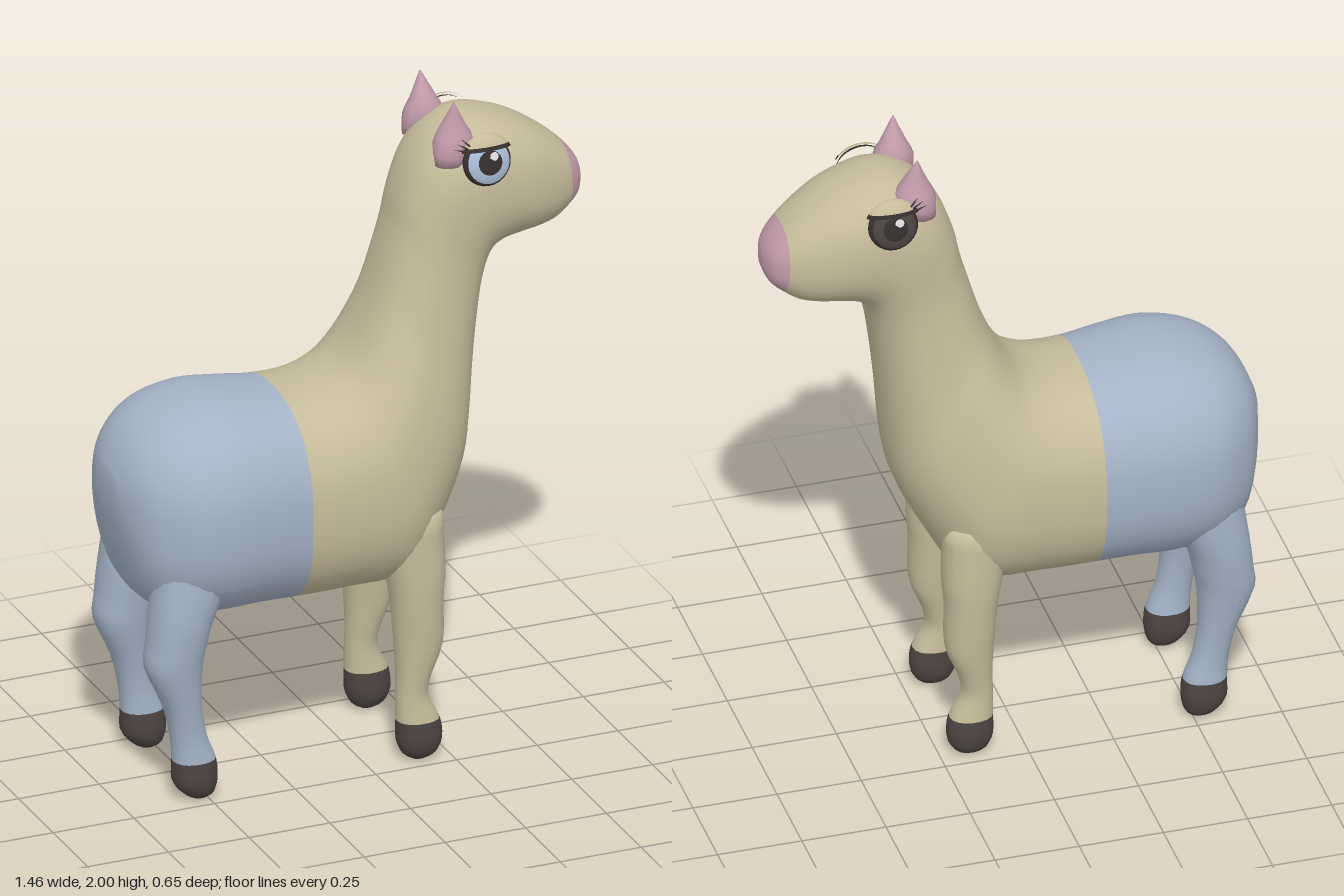
import * as THREE from 'three';

const mat = (name, color) => {
  const m = new THREE.MeshStandardMaterial({ color });
  m.name = name;
  return m;
};
const tan = mat('tan wool', 0xc6bc9b);
const blue = mat('blue wool', 0xa4b3c6);
const pink = mat('pink skin', 0xc39cab);
const hoof = mat('dark hoof', 0x4c4441);
const ink = mat('dark eye line', 0x35302f);
const iris = mat('pale blue iris', 0xa9bdd6);
const white = mat('eye highlight', 0xe6e6ea);

const V = (x, y, z) => new THREE.Vector3(x, y, z);

// Smooth skin through rounded sections { c: centre, u, v: half axes }, u x v along the travel.
// bands: [[material, first section], ...]
function loft(name, sections, bands, power = 2, sides = 28, steps = 4) {
  const curve = key => new THREE.CatmullRomCurve3(sections.map(s => s[key]), false, 'catmullrom', 0.5);
  const [C, U, W] = [curve('c'), curve('u'), curve('v')];
  const rings = (sections.length - 1) * steps;
  const pos = [], idx = [];
  const bend = a => Math.sign(a) * Math.abs(a) ** (2 / power);
  for (let i = 0; i <= rings; i++) {
    const t = i / rings, c = C.getPoint(t), u = U.getPoint(t), v = W.getPoint(t);
    for (let j = 0; j < sides; j++) {
      const a = (j / sides) * Math.PI * 2;
      const p = c.clone().addScaledVector(u, bend(Math.cos(a))).addScaledVector(v, bend(Math.sin(a)));
      pos.push(p.x, p.y, p.z);
    }
  }
  const first = pos.length / 3, last = first + 1;
  pos.push(...sections[0].c.toArray(), ...sections.at(-1).c.toArray());
  const geo = new THREE.BufferGeometry();
  for (let j = 0; j < sides; j++) idx.push(first, (j + 1) % sides, j);
  bands.forEach(([, start], b) => {
    const from = b === 0 ? 0 : idx.length;
    const end = b + 1 < bands.length ? bands[b + 1][1] : sections.length - 1;
    for (let i = start * steps; i < end * steps; i++) {
      for (let j = 0; j < sides; j++) {
        const k = (j + 1) % sides, r = i * sides, q = r + sides;
        idx.push(r + j, r + k, q + j, r + k, q + k, q + j);
      }
    }
    if (b === bands.length - 1) {
      for (let j = 0; j < sides; j++) idx.push(last, rings * sides + j, rings * sides + (j + 1) % sides);
    }
    geo.addGroup(from, idx.length - from, b);
  });
  geo.setAttribute('position', new THREE.Float32BufferAttribute(pos, 3));
  geo.setIndex(idx);
  geo.computeVertexNormals();
  const mesh = new THREE.Mesh(geo, bands.map(b => b[0]));
  mesh.name = name;
  return mesh;
}

// Torso, neck and head in one skin: back x, y, underside x, y, half width
const SPINE = [
  [-0.73, 0.98, -0.73, 0.87, 0.07], [-0.70, 1.05, -0.70, 0.72, 0.17], [-0.65, 1.11, -0.655, 0.60, 0.245],
  [-0.57, 1.155, -0.56, 0.55, 0.305], [-0.45, 1.18, -0.45, 0.535, 0.325], [-0.32, 1.17, -0.32, 0.535, 0.315],
  [-0.215, 1.158, -0.215, 0.53, 0.303], [-0.11, 1.163, -0.05, 0.53, 0.30], [-0.03, 1.20, 0.15, 0.545, 0.295],
  [0.02, 1.26, 0.26, 0.70, 0.268], [0.06, 1.34, 0.335, 0.86, 0.235], [0.09, 1.42, 0.362, 1.0, 0.203],
  [0.12, 1.52, 0.377, 1.16, 0.183], [0.145, 1.61, 0.393, 1.30, 0.172], [0.165, 1.70, 0.41, 1.41, 0.17],
  [0.21, 1.81, 0.432, 1.485, 0.178], [0.28, 1.888, 0.47, 1.515, 0.182], [0.38, 1.92, 0.53, 1.527, 0.18],
  [0.50, 1.89, 0.58, 1.533, 0.165], [0.59, 1.84, 0.63, 1.545, 0.14], [0.665, 1.78, 0.675, 1.575, 0.11],
  [0.708, 1.73, 0.708, 1.605, 0.075], [0.725, 1.69, 0.725, 1.645, 0.025],
];

// Legs from thigh to sole: y, centre x, half x, centre z, half z
const FRONT_LEG = [
  [0.78, 0.13, 0.10, 0.17, 0.09], [0.60, 0.15, 0.088, 0.178, 0.085], [0.50, 0.155, 0.076, 0.18, 0.08],
  [0.36, 0.16, 0.07, 0.182, 0.067], [0.27, 0.145, 0.051, 0.183, 0.055], [0.20, 0.138, 0.046, 0.185, 0.047],
  [0.125, 0.156, 0.064, 0.187, 0.052], [0.06, 0.16, 0.067, 0.187, 0.055], [0.02, 0.16, 0.05, 0.187, 0.04],
  [0, 0.16, 0.02, 0.187, 0.015],
];
const HIND_LEG = [
  [0.80, -0.50, 0.14, 0.18, 0.10], [0.60, -0.57, 0.097, 0.183, 0.10], [0.50, -0.59, 0.088, 0.185, 0.09],
  [0.42, -0.60, 0.083, 0.185, 0.08], [0.30, -0.575, 0.056, 0.187, 0.06], [0.20, -0.555, 0.053, 0.187, 0.05],
  [0.125, -0.538, 0.064, 0.187, 0.054], [0.06, -0.535, 0.066, 0.187, 0.057], [0.02, -0.525, 0.046, 0.187, 0.042],
  [0, -0.52, 0.02, 0.187, 0.015],
];
// Ears from base to tip, same columns
const EAR = [
  [1.81, 0.285, 0.045, 0.12, 0.035], [1.87, 0.30, 0.062, 0.11, 0.052], [1.92, 0.30, 0.04, 0.108, 0.037],
  [1.965, 0.298, 0.018, 0.116, 0.018], [2.0, 0.296, 0.002, 0.122, 0.002],
];

const leg = (name, rows, side, wool) => loft(name,
  rows.map(([y, x, hx, z, hz]) => ({ c: V(x, y, z * side), u: V(hx, 0, 0), v: V(0, 0, hz) })),
  [[wool, 0], [hoof, 6]], 2.2, 18, 3);

const ear = (name, side) => loft(name,
  EAR.map(([y, x, hx, z, hz]) => ({ c: V(x, y, z * side), u: V(0, 0, hz), v: V(hx, 0, 0) })),
  [[pink, 0]], 2, 12, 2);

// Eye of thin nested domes facing local +z
function eye(name, side, irisMaterial) {
  const g = new THREE.Group();
  g.name = name;
  const add = (part, geo, material, grow) => {
    const m = new THREE.Mesh(geo, material);
    m.name = part;
    m.scale.set(0.074 * grow, 0.074 * grow, 0.032 * grow);
    g.add(m);
    return m;
  };
  const cap = r => new THREE.SphereGeometry(1, 28, 8, 0, Math.PI * 2, 0, Math.asin(r)).rotateX(Math.PI / 2);
  add('eyeRim', cap(1), ink, 1);
  add('iris', cap(0.84), irisMaterial, 1.03);
  add('pupil', cap(0.46), ink, 1.07);
  const shine = add('highlight', cap(0.16), white, 1.1);
  shine.position.set(0.012, 0.018, -0.001);
  // Upper lid with a dark edge and lashes at the rear corner
  const lid = new THREE.SphereGeometry(1, 24, 8, 0, Math.PI, 0, 1.02);
  const edge = new THREE.SphereGeometry(1, 24, 2, 0, Math.PI, 0.98, 0.16);
  add('eyelid', lid, tan, 1.12);
  add('lidEdge', edge, ink, 1.14);
  for (let i = 0; i < 3; i++) {
    const lash = new THREE.Mesh(new THREE.ConeGeometry(0.005, 0.05, 5), ink);
    lash.name = 'eyelash';
    lash.position.set(-side * (0.078 - i * 0.009), 0.044 + i * 0.009, 0.012);
    lash.rotation.z = side * (1.25 - i * 0.25);
    g.add(lash);
  }
  g.position.set(0.38, 1.82, 0.163 * side);
  g.rotation.order = 'YXZ';
  g.rotation.set(-0.2, side > 0 ? 0 : Math.PI, 0);
  return g;
}

export function createModel() {
  const model = new THREE.Group();
  model.name = 'woollyAnimal';
  const sections = SPINE.map(([tx, ty, bx, by, w]) => ({
    c: V((tx + bx) / 2, (ty + by) / 2, 0),
    u: V((tx - bx) / 2, (ty - by) / 2, 0),
    v: V(0, 0, w),
  }));
  model.add(loft('bodyNeckAndHead', sections, [[blue, 0], [tan, 6], [pink, 20]], 2.4, 40, 4));
  for (const [word, side] of [['near', 1], ['far', -1]]) {
    model.add(
      leg(word + 'FrontLeg', FRONT_LEG, side, tan),
      leg(word + 'HindLeg', HIND_LEG, side, blue),
      ear(word + 'Ear', side),
      eye(word + 'Eye', side, side > 0 ? iris : hoof),
    );
  }
  return model;
}
